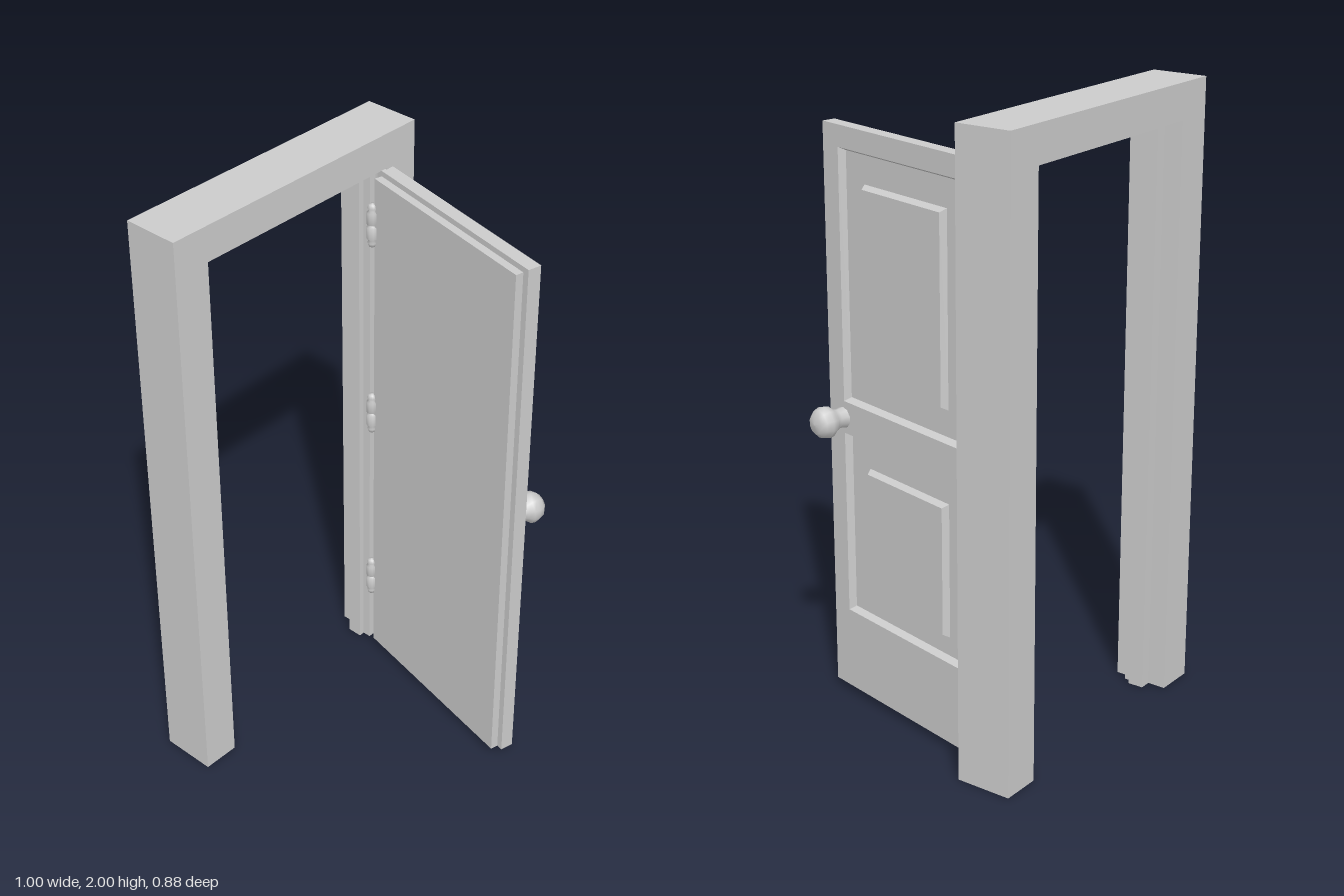
import * as THREE from 'three';

const mat = () => new THREE.MeshStandardMaterial({ color: 0xcccccc });

function add(parent, name, geometry) {
  const mesh = new THREE.Mesh(geometry, mat());
  mesh.name = name;
  parent.add(mesh);
  return mesh;
}

// Flat-faced skin through matching closed rings of [x, y, z] points
function loft(rings, capStart = false, capEnd = false) {
  const pos = [];
  const quad = (a, b, c, d) => pos.push(...a, ...b, ...c, ...a, ...c, ...d);
  for (let r = 0; r < rings.length - 1; r++) {
    const a = rings[r], b = rings[r + 1], n = a.length;
    for (let i = 0; i < n; i++) {
      const j = (i + 1) % n;
      quad(a[i], a[j], b[j], b[i]);
    }
  }
  if (capStart) quad(...[...rings[0]].reverse());
  if (capEnd) quad(...rings[rings.length - 1]);
  const g = new THREE.BufferGeometry();
  g.setAttribute('position', new THREE.Float32BufferAttribute(pos, 3));
  g.computeVertexNormals();
  return g;
}

const rect = ([x0, x1, y0, y1], z, inset = 0) => [
  [x0 + inset, y0 + inset, z], [x1 - inset, y0 + inset, z],
  [x1 - inset, y1 - inset, z], [x0 + inset, y1 - inset, z],
];

function buildFrame(root) {
  // Rebated section: half width, height, z
  const profile = [
    [0.5, 2, -0.44], [0.5, 2, -0.255],
    [0.375, 1.885, -0.255], [0.375, 1.885, -0.3],
    [0.35, 1.87, -0.3], [0.35, 1.87, -0.328],
    [0.33, 1.86, -0.328], [0.33, 1.86, -0.38],
    [0.37, 1.885, -0.38], [0.37, 1.885, -0.44],
  ];
  const frame = new THREE.Group();
  frame.name = 'doorFrame';
  root.add(frame);
  const stations = [[-1, 0], [-1, 1], [1, 1], [1, 0]];
  add(frame, 'jambsAndHead', loft(stations.map(([sx, up]) =>
    profile.map(([w, h, z]) => [sx * w, up * h, z]))));

  // Post feet
  for (const side of [-1, 1]) {
    const foot = new THREE.Shape(profile.map(([w, , z]) => new THREE.Vector2(side * w, z)));
    add(frame, side > 0 ? 'leftPostFoot' : 'rightPostFoot',
      new THREE.ShapeGeometry(foot).rotateX(Math.PI / 2));
  }
}

function buildDoor(root) {
  const W = 0.73, angle = THREE.MathUtils.degToRad(77.2);
  const door = new THREE.Group();
  door.name = 'door';
  door.position.set(0.245 + W * Math.cos(angle), 0, 0.44 - W * Math.sin(angle));
  door.rotation.y = angle;
  root.add(door);

  // Lipped leaf: smaller back layer, larger front layer
  const front = [-W, 0, 0.025, 1.88];
  const back = [-W + 0.022, -0.022, 0.025, 1.862];
  add(door, 'leafBody', loft([
    rect(back, -0.071), rect(back, -0.045), rect(front, -0.045), rect(front, 0),
  ], true));

  // Front face with openings for the panels
  const toPath = (r, Type) => new Type(rect(r, 0).map(([x, y]) => new THREE.Vector2(x, y)));
  const face = toPath(front, THREE.Shape);
  const panels = [
    { name: 'upperPanel', hole: [1.01, 1.812], field: [1.105, 1.712] },
    { name: 'lowerPanel', hole: [0.297, 0.905], field: [0.37, 0.808] },
  ];
  for (const { name, hole, field } of panels) {
    const outer = [-W + 0.073, -0.073, ...hole];
    const inner = [-W + 0.173, -0.173, ...field];
    face.holes.push(toPath(outer, THREE.Path));
    // Bevelled recess around a raised field
    add(door, name, loft([
      rect(outer, 0), rect(outer, -0.022, 0.011),
      rect(inner, -0.022), rect(inner, -0.002, 0.011),
    ], false, true));
  }
  add(door, 'frontFace', new THREE.ShapeGeometry(face));

  // Knob
  const knob = [
    [0.034, 0], [0.03, 0.025], [0.036, 0.042], [0.049, 0.057],
    [0.052, 0.073], [0.045, 0.094], [0.03, 0.109], [0, 0.113],
  ].map(([r, y]) => new THREE.Vector2(r, y));
  add(door, 'knob', new THREE.LatheGeometry(knob, 10).rotateX(Math.PI / 2))
    .position.set(-W + 0.068, 0.955, 0);
}

function buildHinges(root) {
  // Turned barrel with a finial at each end and a narrow joint
  const half = [[0.006, 0.003], [0.018, 0.006], [0.018, 0.045], [0.011, 0.05],
    [0.015, 0.06], [0.011, 0.072], [0, 0.076]];
  const points = [...half.map(([r, y]) => [r, -y]).reverse(), ...half]
    .map(([r, y]) => new THREE.Vector2(r, y));
  for (const y of [0.31, 1.0, 1.7]) {
    add(root, 'hinge', new THREE.LatheGeometry(points, 10)).position.set(0.331, y, -0.274);
  }
}

export function createModel() {
  const root = new THREE.Group();
  root.name = 'openDoor';
  buildFrame(root);
  buildDoor(root);
  buildHinges(root);
  return root;
}
